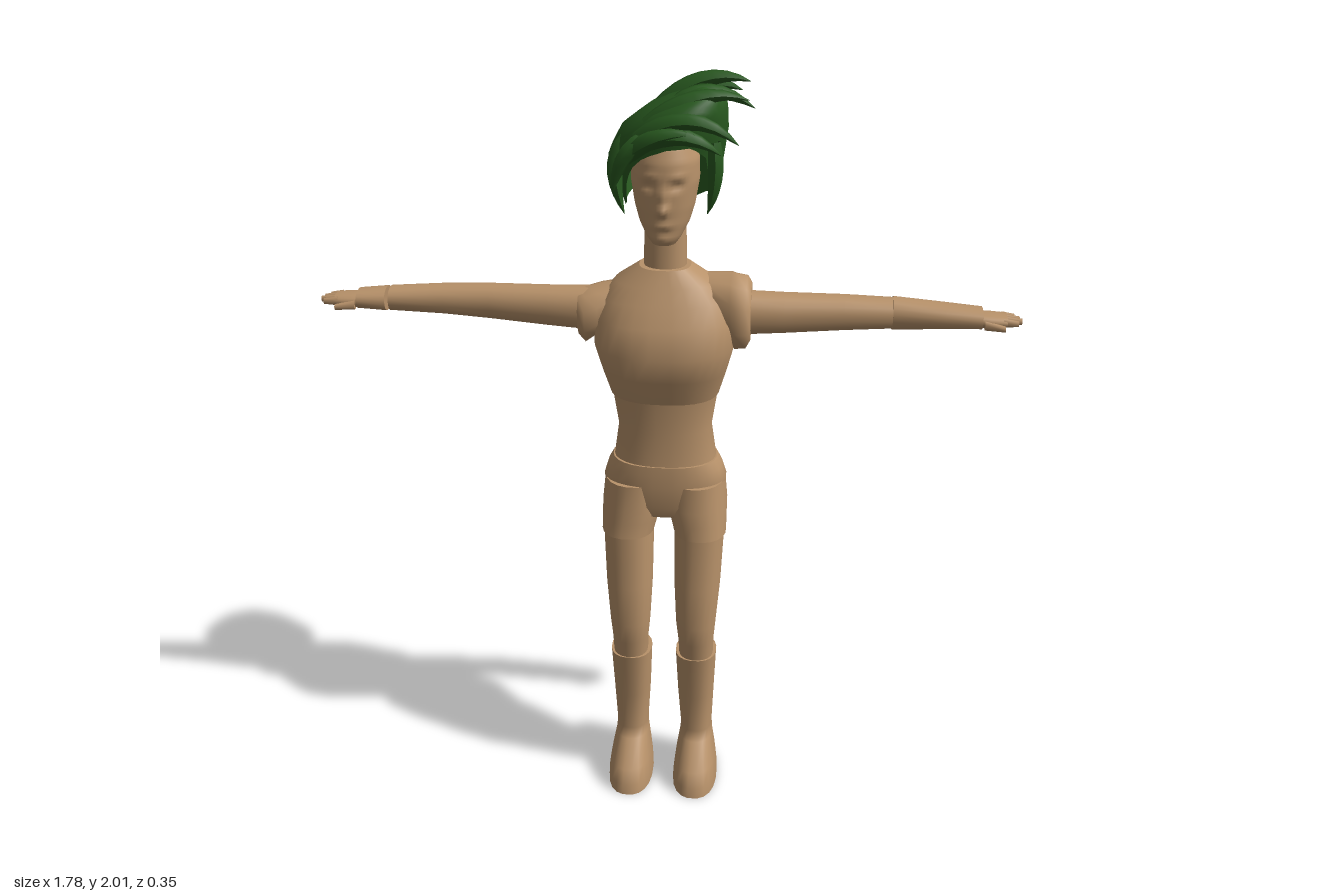
import * as THREE from 'three';

const tan = new THREE.MeshStandardMaterial({ color: 0xb8926a });
const green = new THREE.MeshStandardMaterial({ color: 0x28581f, side: THREE.DoubleSide });
tan.name = 'tan';
green.name = 'dark green';

// Closed loft. Each ring is [position along axis, min, max, zMin, zMax];
// min and max are x for axis 'y', and y for axis 'x'.
function loft(rings, { axis = 'y', sides = 20, power = 2.2 } = {}) {
  const rows = [...rings].sort((a, b) => a[0] - b[0]);
  const pos = [], index = [];
  const bend = (v) => Math.sign(v) * Math.abs(v) ** (2 / power);
  const addRing = ([s, lo, hi, z0, z1]) => {
    const start = pos.length / 3;
    for (let j = 0; j < sides; j++) {
      const t = ((j + 0.5) / sides) * Math.PI * 2;
      const c = bend(axis === 'y' ? Math.cos(t) : Math.sin(t));
      const d = bend(axis === 'y' ? Math.sin(t) : Math.cos(t));
      const p = (lo + hi) / 2 + (c * (hi - lo)) / 2;
      const z = (z0 + z1) / 2 + (d * (z1 - z0)) / 2;
      pos.push(...(axis === 'y' ? [p, s, z] : [s, p, z]));
    }
    return start;
  };
  const starts = rows.map(addRing);
  for (let i = 0; i < rows.length - 1; i++) {
    for (let j = 0; j < sides; j++) {
      const k = (j + 1) % sides;
      const a = starts[i] + j, b = starts[i] + k, c = starts[i + 1] + j, d = starts[i + 1] + k;
      index.push(a, c, b, b, c, d);
    }
  }
  // Flat end caps with their own vertices
  const bottom = addRing(rows[0]), top = addRing(rows[rows.length - 1]);
  for (let j = 1; j < sides - 1; j++) {
    index.push(bottom, bottom + j, bottom + j + 1, top, top + j + 1, top + j);
  }
  const g = new THREE.BufferGeometry();
  g.setAttribute('position', new THREE.Float32BufferAttribute(pos, 3));
  g.setIndex(index);
  g.computeVertexNormals();
  return g;
}

// Linear lookup in rows sorted by their first value
function sample(rows, s) {
  let i = 0;
  while (i < rows.length - 2 && s > rows[i + 1][0]) i++;
  const f = THREE.MathUtils.clamp((s - rows[i][0]) / (rows[i + 1][0] - rows[i][0]), 0, 1);
  return rows[i].map((v, k) => v + (rows[i + 1][k] - v) * f);
}

const flipX = (rings) => rings.map(([y, a, b, z0, z1]) => [y, -b, -a, z0, z1]);
const flipAxis = (rings) => rings.map(([x, ...rest]) => [-x, ...rest]);

// Head with the face raised and sunk by soft bumps: [x, y, depth, width, height]
function headGeometry() {
  const profile = [
    [1.608, -0.03, 0.03, -0.01, 0.06], [1.625, -0.043, 0.043, -0.03, 0.07], [1.66, -0.062, 0.062, -0.07, 0.074],
    [1.7, -0.074, 0.074, -0.09, 0.076], [1.76, -0.084, 0.084, -0.105, 0.077], [1.81, -0.083, 0.083, -0.108, 0.074],
    [1.85, -0.068, 0.068, -0.095, 0.06], [1.88, -0.035, 0.035, -0.06, 0.03],
  ];
  const rings = Array.from({ length: 34 }, (_, i) => sample(profile, 1.608 + (i / 33) * 0.272));
  const g = loft(rings, { sides: 48, power: 2.1 });
  const bumps = [
    [0, 1.7, 0.02, 0.011, 0.013], [0, 1.735, 0.01, 0.009, 0.022], [0, 1.66, 0.006, 0.024, 0.008],
    [0, 1.622, 0.004, 0.02, 0.012], [0.034, 1.757, -0.011, 0.016, 0.01], [-0.034, 1.757, -0.011, 0.016, 0.01],
    [0.036, 1.782, 0.005, 0.022, 0.008], [-0.036, 1.782, 0.005, 0.022, 0.008], [0, 1.645, -0.004, 0.02, 0.005],
  ];
  const p = g.attributes.position;
  for (let i = 0; i < p.count; i++) {
    if (p.getZ(i) < 0) continue;
    const shift = bumps.reduce((sum, [x, y, d, w, h]) =>
      sum + d * Math.exp(-(((p.getX(i) - x) / w) ** 2) - ((p.getY(i) - y) / h) ** 2), 0);
    p.setZ(i, p.getZ(i) + shift);
  }
  g.computeVertexNormals();
  return g;
}

// Hair cap: leaning rings, with a hem that rises over the face
function hairCapGeometry() {
  const rings = [
    [1.68, -0.1, 0.115, -0.15, 0.06], [1.81, -0.143, 0.14, -0.176, 0.085], [1.88, -0.108, 0.15, -0.165, 0.095],
    [1.93, -0.045, 0.148, -0.14, 0.09], [1.965, 0.03, 0.14, -0.11, 0.06], [1.98, 0.08, 0.1, -0.05, 0.0],
  ];
  // Degrees from the front towards +x, then hem height
  const hem = [
    [0, 1.85], [25, 1.855], [48, 1.82], [62, 1.7], [90, 1.68], [125, 1.7], [150, 1.675], [180, 1.69],
    [210, 1.675], [240, 1.7], [275, 1.68], [300, 1.7], [318, 1.77], [340, 1.83], [360, 1.85],
  ];
  const cols = 48, rows = 12, pos = [], index = [];
  for (let i = 0; i <= rows; i++) {
    for (let j = 0; j < cols; j++) {
      const deg = (j / cols) * 360, t = THREE.MathUtils.degToRad(deg);
      const y = THREE.MathUtils.lerp(1.98, sample(hem, deg)[1], i / rows);
      const [, x0, x1, z0, z1] = sample(rings, y);
      pos.push((x0 + x1) / 2 + (Math.sin(t) * (x1 - x0)) / 2, y, (z0 + z1) / 2 + (Math.cos(t) * (z1 - z0)) / 2);
      const k = (j + 1) % cols, a = i * cols;
      if (i < rows) index.push(a + j, a + cols + j, a + k, a + k, a + cols + j, a + cols + k);
    }
  }
  for (let j = 1; j < cols - 1; j++) index.push(0, j, j + 1);
  const g = new THREE.BufferGeometry();
  g.setAttribute('position', new THREE.Float32BufferAttribute(pos, 3));
  g.setIndex(index);
  g.computeVertexNormals();
  return g;
}

// Pointed lock along a bent path
function lockGeometry(from, mid, to, radius) {
  const curve = new THREE.QuadraticBezierCurve3(...[from, mid, to].map((p) => new THREE.Vector3(...p)));
  const steps = 8, sides = 6;
  const g = new THREE.TubeGeometry(curve, steps, radius, sides);
  const p = g.attributes.position, v = new THREE.Vector3();
  for (let i = 0; i < p.count; i++) {
    const t = Math.floor(i / (sides + 1)) / steps;
    const c = curve.getPointAt(t);
    v.fromBufferAttribute(p, i).sub(c).multiplyScalar(0.6 + 0.9 * t - 1.48 * t * t).add(c);
    p.setXYZ(i, v.x, v.y, v.z);
  }
  g.computeVertexNormals();
  return g;
}

export function createModel() {
  const model = new THREE.Group();
  const add = (name, geometry, material = tan) => {
    const mesh = new THREE.Mesh(geometry, material);
    mesh.name = name;
    model.add(mesh);
  };

  // Trunk
  add('chest', loft([
    [1.2, -0.14, 0.14, -0.12, 0.1], [1.27, -0.16, 0.16, -0.125, 0.127], [1.34, -0.178, 0.178, -0.13, 0.15],
    [1.41, -0.178, 0.178, -0.126, 0.122], [1.46, -0.16, 0.16, -0.115, 0.095], [1.5, -0.125, 0.125, -0.095, 0.072],
    [1.54, -0.065, 0.065, -0.07, 0.05],
  ], { sides: 28, power: 2.4 }));
  add('waist', loft([
    [1.0, -0.136, 0.136, -0.108, 0.077], [1.1, -0.122, 0.122, -0.095, 0.07], [1.2, -0.137, 0.137, -0.098, 0.076],
  ], { sides: 28 }));
  add('hips', loft([
    [0.855, -0.11, 0.11, -0.08, 0.065], [0.89, -0.155, 0.155, -0.105, 0.08], [0.95, -0.163, 0.163, -0.117, 0.082],
    [0.985, -0.152, 0.152, -0.115, 0.082], [1.01, -0.138, 0.138, -0.112, 0.08],
  ], { sides: 28, power: 2.4 }));
  add('neck', loft([[1.5, -0.055, 0.055, -0.068, 0.038], [1.7, -0.05, 0.05, -0.066, 0.035]]));
  add('head', headGeometry());

  // Legs
  const shortLeg = [
    [0.8, 0.027, 0.167, -0.058, 0.097], [0.84, 0.016, 0.167, -0.08, 0.093], [0.88, 0.002, 0.167, -0.112, 0.09],
    [0.95, 0.0, 0.16, -0.116, 0.083],
  ];
  const leg = [
    [0.4, 0.045, 0.138, -0.012, 0.09], [0.47, 0.042, 0.14, -0.003, 0.102], [0.53, 0.036, 0.145, 0.0, 0.11],
    [0.65, 0.03, 0.155, -0.025, 0.108], [0.82, 0.028, 0.163, -0.055, 0.092],
  ];
  const boot = [
    [0, 0.03, 0.156, -0.065, 0.175], [0.03, 0.031, 0.155, -0.065, 0.17], [0.07, 0.036, 0.15, -0.063, 0.152],
    [0.13, 0.046, 0.138, -0.057, 0.085], [0.155, 0.048, 0.136, -0.056, 0.066], [0.28, 0.04, 0.141, -0.05, 0.082],
    [0.42, 0.034, 0.147, -0.036, 0.097],
  ];
  for (const [side, flip] of [['left', (r) => r], ['right', flipX]]) {
    add(side + 'ShortLeg', loft(flip(shortLeg)));
    add(side + 'Leg', loft(flip(leg)));
    add(side + 'Boot', loft(flip(boot), { power: 2.4 }));
  }

  // Arms: the left has a long cuff, the right a short cuff beyond a gap
  const arm = { axis: 'x', sides: 16 };
  const sleeve = [
    [0.17, 1.36, 1.475, -0.06, 0.048], [0.3, 1.365, 1.468, -0.068, 0.033], [0.45, 1.373, 1.463, -0.076, 0.016],
    [0.57, 1.38, 1.458, -0.075, 0.008],
  ];
  const forearm = [[0.57, 1.38, 1.458, -0.075, 0.008], [0.71, 1.389, 1.45, -0.064, 0.014]];
  const longCuff = [[0.57, 1.377, 1.461, -0.077, 0.011], [0.7, 1.388, 1.451, -0.068, 0.016], [0.79, 1.394, 1.445, -0.058, 0.022]];
  const shortCuff = [[0.718, 1.389, 1.45, -0.062, 0.018], [0.792, 1.396, 1.443, -0.055, 0.022]];
  const palm = [[0.78, 1.4, 1.437, -0.046, 0.02], [0.81, 1.397, 1.436, -0.048, 0.022], [0.85, 1.402, 1.432, -0.047, 0.018]];
  add('leftUpperArm', loft(sleeve, arm));
  add('leftForearmCuff', loft(longCuff, arm));
  add('rightArm', loft(flipAxis([...sleeve, forearm[1]]), arm));
  add('rightCuff', loft(flipAxis(shortCuff), arm));
  for (const [side, flip] of [['left', (r) => r], ['right', flipAxis]]) {
    add(side + 'Palm', loft(flip(palm), arm));
    [0.872, 0.883, 0.888, 0.878].forEach((tip, i) => {
      const z = -0.039 + i * 0.016;
      add(side + 'Finger', loft(flip([[0.84, 1.406, 1.43, z - 0.008, z + 0.008], [tip, 1.409, 1.424, z - 0.006, z + 0.006]]), { axis: 'x', sides: 8 }));
    });
    add(side + 'Thumb', loft(flip([[0.795, 1.4, 1.425, 0.008, 0.026], [0.845, 1.4, 1.415, 0.02, 0.033]]), { axis: 'x', sides: 8 }));
  }

  // Shoulder guards, larger on the left
  add('leftShoulderGuard', loft([
    [0.1, 1.42, 1.513, -0.085, 0.045], [0.165, 1.355, 1.52, -0.095, 0.07], [0.178, 1.322, 1.52, -0.092, 0.08],
    [0.206, 1.325, 1.515, -0.09, 0.08], [0.217, 1.345, 1.495, -0.075, 0.062],
  ], { axis: 'x', sides: 10 }));
  add('rightShoulderGuard', loft(flipAxis([
    [0.12, 1.4, 1.49, -0.07, 0.045], [0.165, 1.355, 1.482, -0.085, 0.065], [0.198, 1.33, 1.474, -0.08, 0.068],
    [0.217, 1.35, 1.468, -0.068, 0.055],
  ]), { axis: 'x', sides: 10 }));

  // Hair, swept over to the left
  add('hairCap', hairCapGeometry(), green);
  const locks = [
    [[-0.02, 1.91, -0.1], [0.1, 1.99, -0.11], [0.18, 1.955, -0.085], 0.03],
    [[-0.02, 1.92, -0.05], [0.09, 2.02, -0.06], [0.2, 1.985, -0.045], 0.032],
    [[0.0, 1.92, 0.0], [0.1, 2.01, -0.01], [0.212, 1.925, -0.03], 0.03],
    [[-0.04, 1.9, 0.04], [0.09, 2.0, 0.05], [0.2, 1.955, 0.02], 0.03],
    [[-0.06, 1.87, 0.06], [0.07, 1.97, 0.1], [0.18, 1.865, 0.085], 0.03],
    [[-0.08, 1.84, 0.06], [0.04, 1.93, 0.115], [0.14, 1.84, 0.085], 0.032],
    [[-0.1, 1.81, 0.04], [-0.02, 1.91, 0.12], [0.08, 1.89, 0.1], 0.032],
    [[-0.02, 1.88, 0.06], [-0.1, 1.86, 0.09], [-0.12, 1.74, 0.065], 0.028],
    [[-0.09, 1.86, 0.0], [-0.145, 1.8, 0.03], [-0.095, 1.68, 0.04], 0.03],
    [[0.12, 1.86, 0.04], [0.135, 1.77, 0.05], [0.105, 1.68, 0.025], 0.028],
  ];
  for (const lock of locks) add('hairLock', lockGeometry(...lock), green);
  return model;
}
